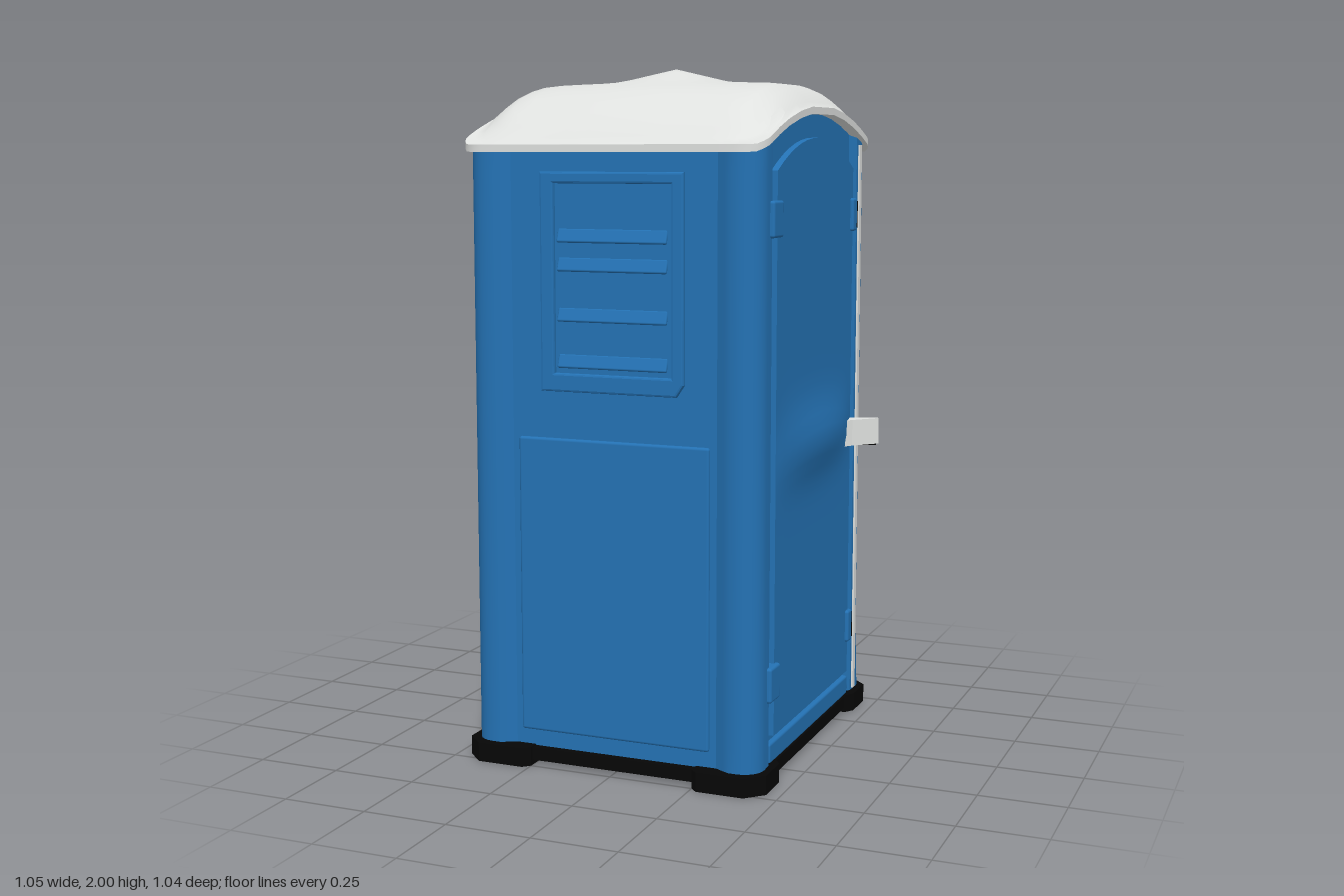
import * as THREE from 'three';
import { toCreasedNormals } from 'three/addons/utils/BufferGeometryUtils.js';
import { RoundedBoxGeometry } from 'three/addons/geometries/RoundedBoxGeometry.js';

const material = (name, color) => {
  const m = new THREE.MeshStandardMaterial({ color });
  m.name = name;
  return m;
};

// Joins closed rings of [x, y, z] points (bottom to top, counter-clockwise from above).
function loft(rings, crease) {
  const pos = [];
  for (let i = 0; i < rings.length - 1; i++) {
    const lo = rings[i], hi = rings[i + 1], n = lo.length;
    for (let j = 0; j < n; j++) {
      const k = (j + 1) % n;
      pos.push(...lo[j], ...lo[k], ...hi[k], ...lo[j], ...hi[k], ...hi[j]);
    }
  }
  const g = new THREE.BufferGeometry();
  g.setAttribute('position', new THREE.Float32BufferAttribute(pos, 3));
  return toCreasedNormals(g, crease);
}

// Extrudes an x/z plan outline between two heights.
function slab(points, y0, y1) {
  const shape = new THREE.Shape(points.map(([x, z]) => new THREE.Vector2(x, z)));
  const g = new THREE.ExtrudeGeometry(shape, { depth: y1 - y0, bevelEnabled: false });
  return g.rotateX(Math.PI / 2).translate(0, y1, 0);
}

// Outline of one quarter (front middle to side middle) repeated round the plan.
function mirrorQuarter(quarter) {
  const back = quarter.map(([x, z]) => [x, -z]).reverse();
  const half = [...quarter, ...back];
  return [...half, ...half.map(([x, z]) => [-x, -z])];
}

function cornerArc(cx, cz, r, steps) {
  return Array.from({ length: steps + 1 }, (_, i) => {
    const a = (i / steps) * Math.PI / 2;
    return [cx + r * Math.sin(a), cz + r * Math.cos(a)];
  });
}

// Curved lower edge of the roof, and the top of the side walls
const eave = z => 1.76 + 0.11 * Math.max(0, 1 - (z / 0.5) ** 2);

function roofTop(x, z) {
  const barrel = 0.205 * (1 - Math.abs(z / 0.52) ** 3);
  const sideDrop = 0.07 * Math.max(0, (Math.abs(x) - 0.33) / 0.125) ** 2 + 0.03 * Math.abs(x);
  const peak = 0.035 * Math.max(0, 1 - Math.hypot(x, z) / 0.17);
  return Math.max(1.76 + barrel - sideDrop + peak, eave(z) + 0.02);
}

export function createModel() {
  const model = new THREE.Group();
  const blue = material('blue plastic', 0x2472b4);
  const white = material('pale grey plastic', 0xdfe1df);
  const black = material('black plastic', 0x060606);
  const add = (name, geometry, mat, parent = model) => {
    const m = new THREE.Mesh(geometry, mat);
    m.name = name;
    parent.add(m);
    return m;
  };
  const block = (name, size, at, mat, parent, r = 0.008) => {
    const m = add(name, new RoundedBoxGeometry(...size, 2, r), mat, parent);
    m.position.set(...at);
    return m;
  };

  // Walls with rounded corner posts, slightly flared at the rear foot
  const plan = mirrorQuarter([
    [0.1, 0.466], [0.31, 0.466], [0.335, 0.48], [0.355, 0.49],
    ...cornerArc(0.38, 0.43, 0.06, 6), [0.438, 0.39], [0.42, 0.365], [0.42, 0.2], [0.42, 0.07],
  ]);
  const levels = [0.04, 0.12, 0.25, 1, 1.7];
  const rings = levels.map(y => plan.map(([x, z]) => {
    const flare = z < -0.4 ? 0.025 * Math.max(0, 1 - y / 0.25) : 0;
    return [x, y, z - flare];
  }));
  rings.push(plan.map(([x, z]) => [x, eave(z) + 0.015, z]));
  add('walls', loft(rings, 0.5), blue);

  // Domed roof with a thin lip
  const roofPlan = mirrorQuarter([
    [0.08, 0.52], [0.16, 0.52], [0.24, 0.52], [0.32, 0.52],
    ...cornerArc(0.375, 0.44, 0.08, 6),
    [0.455, 0.38], [0.455, 0.3], [0.455, 0.2], [0.455, 0.1],
  ]);
  const roofRing = (s, height) => roofPlan.map(([x, z]) => [x * s, height(x * s, z * s), z * s]);
  const under = (x, z) => eave(z);
  add('roof', loft([
    roofRing(0.001, under), roofRing(0.5, under), roofRing(0.9, under), roofRing(1, under),
    ...[1, 0.985, 0.96, 0.92, 0.86, 0.78, 0.68, 0.56, 0.44, 0.32, 0.22, 0.14, 0.07, 0.001]
      .map(s => roofRing(s, roofTop)),
  ], 0.8), white);

  // Base deck and chamfered corner feet
  const base = new THREE.Group();
  base.name = 'base';
  model.add(base);
  add('deck', new THREE.BoxGeometry(0.88, 0.037, 0.98), black, base).position.y = 0.0335;
  for (const sx of [-1, 1]) for (const sz of [-1, 1]) {
    const foot = [[0.25, 0.35], [0.25, 0.5], [0.27, 0.52], [0.41, 0.52],
      [0.46, 0.47], [0.46, 0.36], [0.44, 0.33]];
    add('foot', slab(foot.map(([x, z]) => [x * sx, z * sz]), 0, 0.055), black, base);
  }

  // Front and back: vent window with slats above a raised lower panel
  for (const face of [1, -1]) {
    const wall = new THREE.Group();
    wall.name = face > 0 ? 'frontPanel' : 'backPanel';
    wall.rotation.y = face > 0 ? 0 : Math.PI;
    model.add(wall);

    block('lowerPanel', [0.58, 0.86, 0.02], [0, 0.53, 0.466], blue, wall);
    const frame = new THREE.Shape();
    frame.moveTo(-0.21, 1.1).lineTo(0.19, 1.1).lineTo(0.21, 1.13).lineTo(0.21, 1.7)
      .lineTo(-0.21, 1.7);
    const opening = new THREE.Path();
    opening.moveTo(-0.18, 1.14).lineTo(-0.18, 1.68).lineTo(0.185, 1.68).lineTo(0.185, 1.14);
    frame.holes.push(opening);
    add('ventFrame', new THREE.ExtrudeGeometry(frame, {
      depth: 0.01, bevelSize: 0.006, bevelThickness: 0.006, bevelSegments: 2,
    }), blue, wall).position.z = 0.464;
    const slats = face > 0 ? [1.53, 1.45, 1.31, 1.18] : [1.65, 1.6, 1.55, 1.5, 1.32];
    for (const y of slats) {
      const slat = block('ventSlat', [0.33, 0.04, 0.012], [0, y, 0.468], blue, wall, 0.005);
      slat.rotation.x = -0.35;
    }
  }

  // Doors on both sides
  for (const s of [1, -1]) {
    const door = new THREE.Group();
    door.name = s > 0 ? 'leftDoor' : 'rightDoor';
    model.add(door);

    // Door leaf with an arched head and a swelling at handle height
    const leaf = new RoundedBoxGeometry(0.03, 1, 0.7, 2, 0.008);
    leaf.dispose();
    const g = new THREE.BoxGeometry(0.03, 1, 0.7, 1, 40, 14);
    const p = g.attributes.position;
    for (let i = 0; i < p.count; i++) {
      const z = p.getZ(i), t = p.getY(i) + 0.5;
      const y = 0.13 + t * (1.71 + 0.09 * (1 - (z / 0.35) ** 2) - 0.13);
      const swell = 0.033 * Math.exp(-(((y - 0.93) / 0.09) ** 2)) * (1 - (z / 0.35) ** 2);
      p.setXYZ(i, p.getX(i) + s * (0.424 + swell), y, z);
    }
    add('doorLeaf', toCreasedNormals(g, 0.6), blue, door);
    block('sill', [0.03, 0.06, 0.74], [s * 0.42, 0.08, 0], blue, door);

    // Hinges at the front edge, keepers at the rear edge
    for (const y of [0.29, 1.58]) {
      block('hinge', [0.04, 0.1, 0.08], [s * 0.432, y, 0.37], blue, door);
      block('keeper', [0.036, 0.1, 0.04], [s * 0.432, y - 0.01, -0.345], blue, door);
      add('keeperBack', new THREE.BoxGeometry(0.03, 0.08, 0.006), black, door)
        .position.set(s * 0.434, y - 0.01, -0.367);
    }

    // Swept-back handle, dark on its rear
    const mirror = pts => pts.map(([x, z]) => [x * s, z]);
    add('handle', slab(mirror([[0.43, -0.25], [0.462, -0.3], [0.525, -0.372],
      [0.515, -0.384], [0.43, -0.345]]), 0.862, 0.942), s > 0 ? white : [white, black], door);
    add('handleBack', slab(mirror([[0.43, -0.34], [0.515, -0.38], [0.495, -0.392],
      [0.43, -0.38]]), 0.855, 0.935), black, door);
  }

  // Pale seam strip on the rear post
  add('seamStrip', new THREE.BoxGeometry(0.009, 1.72, 0.022), white)
    .position.set(0.4395, 0.92, -0.413);

  return model;
}
